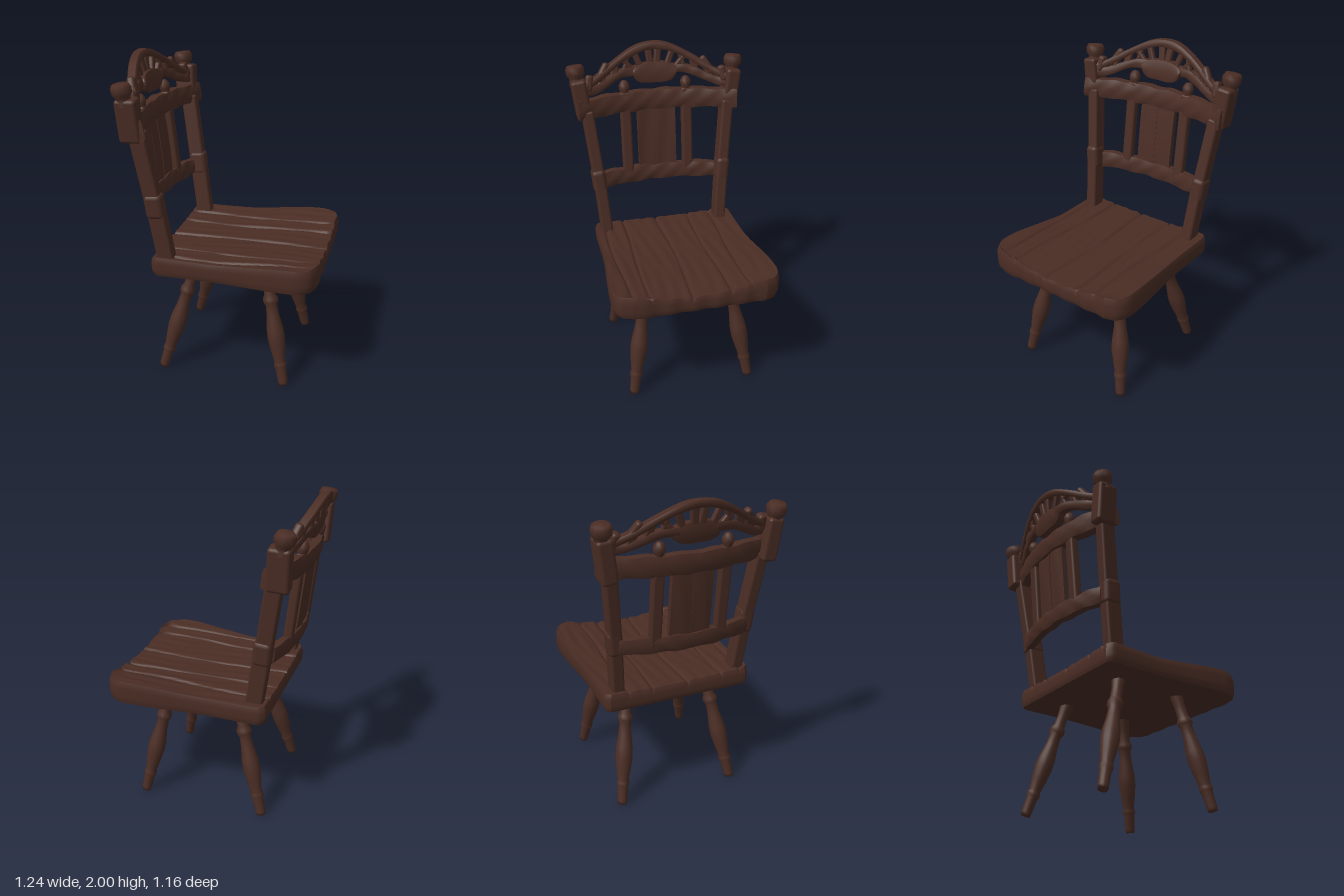
import * as THREE from 'three';
import { RoundedBoxGeometry } from 'three/addons/geometries/RoundedBoxGeometry.js';

const wood = new THREE.MeshStandardMaterial({ name: 'darkWood', color: 0x4a2d24 });
const V = (x, y, z) => new THREE.Vector3(x, y, z);
const UP = V(0, 1, 0);

function add(parent, name, geometry) {
  const mesh = new THREE.Mesh(geometry, wood);
  mesh.name = name;
  parent.add(mesh);
  return mesh;
}

// Stand a y-aligned part between two points.
function place(mesh, a, b) {
  mesh.position.copy(a).lerp(b, 0.5);
  mesh.quaternion.setFromUnitVectors(UP, b.clone().sub(a).normalize());
  return mesh;
}

function bar(parent, name, a, b, dx, dz, r = 0.015) {
  return place(add(parent, name, new RoundedBoxGeometry(dx, a.distanceTo(b), dz, 2, r)), a, b);
}

// Turned part: pairs of radius and height, centred on its own length.
function turned(parent, name, profile, a, b, sides = 16) {
  const half = a.distanceTo(b) / 2;
  const points = profile.map(([r, y]) => new THREE.Vector2(r, y - half));
  return place(add(parent, name, new THREE.LatheGeometry(points, sides)), a, b);
}

// Curved surface of the backrest: leans with height, bows toward the sides.
const lean = y => y < 1.7 ? -0.47 - (y - 1.14) * 0.11 : -0.53 - (y - 1.7) * 0.19;
const backX = (y, z) => lean(y) + 0.085 * (z / 0.45) ** 2;
const onBack = (z, y, dx = 0) => V(backX(y, z) + dx, y, z);

// Slat bent to the backrest, between a lower and an upper edge curve.
function slat(parent, name, z0, z1, low, high, depth, wear = 0.004, dx = 0) {
  const g = new THREE.BoxGeometry(1, 1, 1, 2, 4, 40);
  const p = g.attributes.position;
  for (let i = 0; i < p.count; i++) {
    const z = THREE.MathUtils.lerp(z0, z1, p.getZ(i) + 0.5);
    const t = p.getY(i) + 0.5;
    const y = THREE.MathUtils.lerp(low(z), high(z), t) + wear * Math.sin(z * 31 + t * 4);
    const round = Math.abs(p.getY(i)) > 0.4 ? 0.75 : 1;
    p.setXYZ(i, backX(y, z) + dx + p.getX(i) * depth * round + wear * 0.6 * Math.sin(z * 47 + y * 60), y, z);
  }
  g.computeVertexNormals();
  return add(parent, name, g);
}

function buildSeat(root) {
  const g = new THREE.BoxGeometry(1, 1, 1, 56, 6, 120);
  const p = g.attributes.position;
  const grooves = [-0.33, -0.19, 0.03, 0.28, 0.4];
  for (let i = 0; i < p.count; i++) {
    const u = p.getX(i) + 0.5, t = p.getY(i) + 0.5, v = p.getZ(i) * 2;
    // Outline: widens forward, with rounded corners
    const front = Math.max(0, (u - 0.87) / 0.13), rear = Math.max(0, (0.04 - u) / 0.04);
    let half = 0.477 + 0.037 * THREE.MathUtils.smoothstep(u, 0.3, 0.85);
    half -= 0.11 * (1 - Math.sqrt(1 - Math.min(1, front * front))) + 0.03 * rear * rear;
    const rim = 1 - 0.018 * (2 * t - 1) ** 4;
    const x = 0.11 + (u - 0.5) * 1.02 * rim + 0.004 * Math.sin(v * 17) * u;
    const z = -0.012 + v * half * rim;
    // Top: raised front corners, shallow dip and gaps between planks
    let top = 0.815 + 0.014 * v * v + THREE.MathUtils.smoothstep(u, 0.35, 0.85) * (0.005 + 0.035 * v * v);
    top += 0.003 * Math.sin(z * 75 + 2 * Math.sin(x * 5)) * Math.sin(x * 6 + z * 9);
    grooves.forEach((gz, k) => {
      const d = z - gz - 0.012 * Math.sin(x * 5 + k * 2);
      top -= 0.014 * Math.exp(-((d / 0.008) ** 2));
    });
    const bottom = 0.71 + 0.012 * u;
    p.setXYZ(i, x, THREE.MathUtils.lerp(bottom, top, t), z);
  }
  g.computeVertexNormals();
  add(root, 'seat', g);
}

function buildLegs(root) {
  const profile = [[0, 0], [0.028, 0], [0.031, 0.02], [0.034, 0.11], [0.04, 0.125], [0.04, 0.145], [0.035, 0.16],
    [0.046, 0.23], [0.055, 0.31], [0.053, 0.37], [0.04, 0.46], [0.036, 0.53], [0.047, 0.55], [0.047, 0.575],
    [0.035, 0.6], [0.034, 0.67], [0.042, 0.75]];
  for (const s of [1, -1]) {
    for (const [name, top, foot] of [['frontLeg', 0.28, 0.43], ['rearLeg', -0.17, -0.37]]) {
      turned(root, name, profile, V(foot, 0.008, s * 0.383 - 0.01), V(top, 0.735, s * 0.265 - 0.01));
    }
  }
}

function buildPosts(back) {
  for (const s of [1, -1]) {
    const at = (x, y, z) => V(x, y, s * z);
    bar(back, 'postFoot', at(-0.31, 0.78, 0.39), at(-0.365, 1.16, 0.418), 0.105, 0.075);
    bar(back, 'postCollar', at(-0.358, 1.08, 0.413), at(-0.374, 1.24, 0.428), 0.115, 0.09, 0.03);
    bar(back, 'postShaft', at(-0.372, 1.18, 0.42), at(-0.44, 1.62, 0.465), 0.1, 0.075);
    bar(back, 'postBlock', at(-0.462, 1.565, 0.478), at(-0.474, 1.82, 0.51), 0.13, 0.095, 0.02);
    // Knob on the post
    turned(back, 'postFinial', [[0.05, 0], [0.045, 0.03], [0.043, 0.045], [0.058, 0.065], [0.06, 0.1], [0.048, 0.122], [0, 0.125]],
      at(-0.484, 1.78, 0.51), at(-0.503, 1.905, 0.52), 10);
  }
}

function buildRails(back) {
  slat(back, 'lowerRail', -0.41, 0.41, () => 1.09, () => 1.19, 0.06);
  slat(back, 'upperRail', -0.52, 0.52, () => 1.575, () => 1.695, 0.075);
  // Wide middle board with ragged edges, in two planks
  slat(back, 'splat', -0.128, 0.0, () => 1.15, () => 1.62, 0.035);
  slat(back, 'splat', 0.003, 0.128, () => 1.15, () => 1.62, 0.03);
  for (const s of [1, -1]) {
    bar(back, 'spindle', onBack(s * 0.205, 1.13), onBack(s * 0.205, 1.7), 0.055, 0.07);
    turned(back, 'spindleTip', [[0.025, 0], [0.034, 0.03], [0.035, 0.055], [0.02, 0.08], [0, 0.086]],
      onBack(s * 0.205, 1.69), onBack(s * 0.205, 1.776), 12);
  }
}

function buildCrest(back) {
  const arch = z => 1.8 + 0.198 * Math.pow(0.5 + 0.5 * Math.cos(Math.PI * z / 0.465), 0.7);
  slat(back, 'crestArch', -0.455, 0.455, z => arch(z) - 0.045, arch, 0.06, 0.001);
  // Medallion and its inner hoop
  slat(back, 'medallion', -0.145, 0.145, z => 1.825 - 0.075 * Math.sqrt(Math.max(0, 1 - (z / 0.146) ** 4)),
    z => 1.825 + 0.05 * Math.sqrt(Math.max(0, 1 - (z / 0.146) ** 2)), 0.065, 0.001, 0.01);
  for (const s of [1, -1]) {
    const wave = z => 1.825 - 0.085 * THREE.MathUtils.smoothstep(Math.abs(z), 0.17, 0.44);
    slat(back, 'crestScroll', s > 0 ? 0.11 : -0.45, s > 0 ? 0.45 : -0.11, z => wave(z) - 0.025, z => wave(z) + 0.028, 0.05, 0.002);
    // Carved struts between scroll and arch
    for (const [z0, y0, z1, y1, w] of [[0.02, 1.85, 0.035, 1.975, 0.045], [0.09, 1.85, 0.13, 1.95, 0.04],
      [0.14, 1.83, 0.22, 1.92, 0.035], [0.2, 1.82, 0.17, 1.93, 0.03], [0.27, 1.8, 0.255, 1.89, 0.05],
      [0.37, 1.76, 0.33, 1.84, 0.04]]) {
      bar(back, 'crestStrut', onBack(s * z0, y0), onBack(s * z1, y1), 0.035, w, 0.012);
    }
    // Leaf curls on the shoulders
    bar(back, 'crestCurl', onBack(s * 0.38, 1.79), onBack(s * 0.31, 1.895), 0.05, 0.045, 0.02);
    bar(back, 'crestCurl', onBack(s * 0.45, 1.74), onBack(s * 0.43, 1.84), 0.06, 0.05, 0.02);
  }
}

export function createModel() {
  const root = new THREE.Group();
  root.name = 'chair';
  buildSeat(root);
  buildLegs(root);
  const back = new THREE.Group();
  back.name = 'backrest';
  root.add(back);
  buildPosts(back);
  buildRails(back);
  buildCrest(back);
  return root;
}
